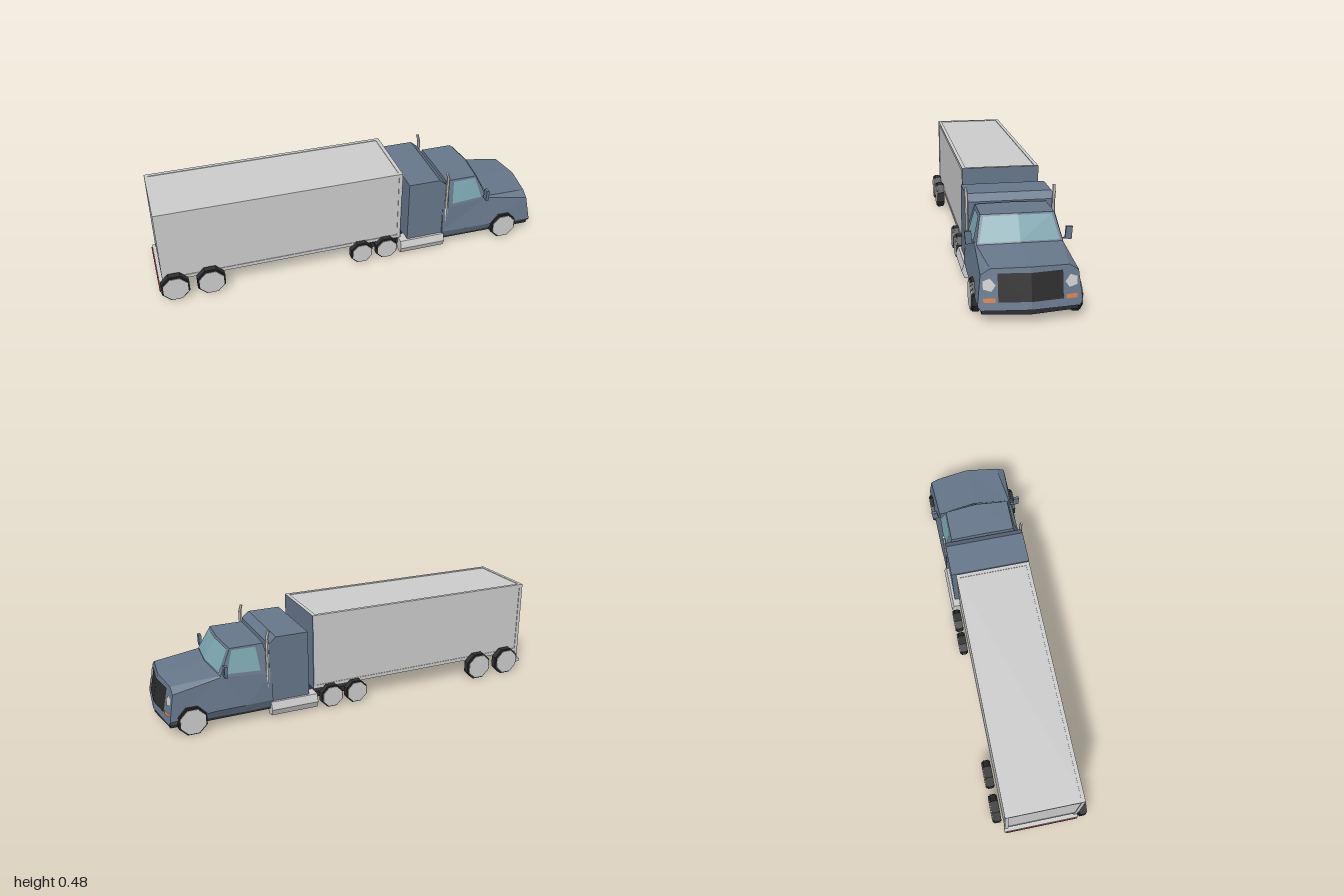
import * as THREE from 'three';

const mat = (color, side = THREE.FrontSide) =>
  new THREE.MeshStandardMaterial({ color, side, flatShading: true });

export function createModel() {
  const truck = new THREE.Group();
  const grey = mat(0xcccccc), blue = mat(0x66768a), dark = mat(0x2b2d33), rubber = mat(0x303030);
  const glass = mat(0x7aa3ad, THREE.DoubleSide), black = mat(0x2a2a2a, THREE.DoubleSide);
  const lamp = mat(0xcccccc, THREE.DoubleSide), orange = mat(0xd0804a, THREE.DoubleSide);
  const red = mat(0x8a2a2a);

  const add = (name, geo, material, parent = truck) => {
    const m = new THREE.Mesh(geo, material);
    m.name = name;
    parent.add(m);
    return m;
  };
  // box given by its limits
  const box = (name, x0, x1, y0, y1, z0, z1, material, parent) => {
    const m = add(name, new THREE.BoxGeometry(x1 - x0, y1 - y0, z1 - z0), material, parent);
    m.position.set((x0 + x1) / 2, (y0 + y1) / 2, (z0 + z1) / 2);
    return m;
  };
  const fromTriangles = (tris) => {
    const g = new THREE.BufferGeometry();
    g.setAttribute('position', new THREE.Float32BufferAttribute(tris.flat(2), 3));
    g.computeVertexNormals();
    return g;
  };
  const fan = (pts) => fromTriangles(pts.slice(2).map((p, i) => [pts[0], pts[i + 1], p]));
  // outline in (z, y), drawn out along x
  const alongX = (pts, x0, x1) => {
    const s = new THREE.Shape(pts.map(([z, y]) => new THREE.Vector2(-z, y)));
    return new THREE.ExtrudeGeometry(s, { depth: x1 - x0, bevelEnabled: false })
      .rotateY(Math.PI / 2).translate(x0, 0, 0);
  };

  // Trailer: core, edge rails and front panel
  const trailer = new THREE.Group();
  trailer.name = 'trailer';
  truck.add(trailer);
  const X = [-0.98, 0.24], Y = [0.1, 0.485], Z = [-0.182, 0.192], t = 0.018;
  box('trailerBody', X[0] + 0.003, X[1] - 0.003, Y[0] + 0.003, Y[1] - 0.003, Z[0] + 0.003, Z[1] - 0.003, grey, trailer);
  const rail = (r, k) => (k ? [r[1] - t, r[1]] : [r[0], r[0] + t]);
  for (const a of [0, 1]) for (const b of [0, 1]) {
    box('lengthRail', ...X, ...rail(Y, a), ...rail(Z, b), grey, trailer);
    box('cornerPost', ...rail(X, a), ...Y, ...rail(Z, b), grey, trailer);
    box('crossRail', ...rail(X, a), ...rail(Y, b), ...Z, grey, trailer);
  }
  box('trailerFrontPanel', 0.236, 0.241, ...Y, ...Z, blue, trailer);

  // Rear bumper with hangers and a red strip
  box('rearBumper', -0.995, -0.972, 0.036, 0.056, -0.185, 0.19, grey);
  box('rearLightStrip', -1, -0.994, 0.037, 0.047, -0.18, 0.185, red);
  for (const z of [-0.182, 0.172])
    box('bumperHanger', -0.98, -0.965, 0.04, 0.105, z, z + 0.016, grey);

  // Underbody plate: wide under the cab, narrower to the rear
  const plan = [[0.995, 0], [0.965, 0.205], [0.46, 0.2], [0.27, 0.2], [0.24, 0.17], [0, 0.165],
    [0, -0.165], [0.24, -0.17], [0.27, -0.2], [0.46, -0.2], [0.965, -0.205]];
  add('underbody', new THREE.ExtrudeGeometry(
    new THREE.Shape(plan.map(p => new THREE.Vector2(...p))), { depth: 0.028, bevelEnabled: false }
  ).rotateX(Math.PI / 2).translate(0, 0.077, 0), dark);
  box('trailerCoupling', 0.03, 0.19, 0.07, 0.102, -0.08, 0.08, dark);

  // Sleeper with a sloped upper front edge
  const sleeper = [[0.275, 0.07], [0.475, 0.07], [0.475, 0.385], [0.438, 0.416], [0.275, 0.416]];
  add('sleeper', new THREE.ExtrudeGeometry(
    new THREE.Shape(sleeper.map(p => new THREE.Vector2(...p))), { depth: 0.406, bevelEnabled: false }
  ).translate(0, 0, -0.203), blue);

  // Cab and hood: half cross-sections (bottom, sill, belt, roof edge, centre), mirrored in z
  const frontX = (y, z) => 0.965 + (0.245 - y) * 0.2 - 0.127 * Math.abs(z);
  const onFront = (z, y, off = 0) => [frontX(y, z) + off, y, z];
  const halves = [
    [[0.465, 0.06, 0], [0.465, 0.06, 0.2], [0.465, 0.1, 0.215], [0.465, 0.235, 0.205], [0.49, 0.38, 0.165], [0.49, 0.383, 0]],
    [[0.6, 0.055, 0], [0.6, 0.055, 0.2], [0.6, 0.1, 0.22], [0.705, 0.256, 0.197], [0.655, 0.38, 0.165], [0.668, 0.384, 0]],
    [[0.74, 0.055, 0], [0.74, 0.055, 0.2], [0.74, 0.1, 0.222], [0.716, 0.255, 0.197], [0.715, 0.262, 0.19], [0.735, 0.269, 0]],
    [onFront(0, 0.07), onFront(0.208, 0.068), onFront(0.222, 0.085), onFront(0.207, 0.215), onFront(0.166, 0.24), onFront(0, 0.245)],
  ];
  const flip = ([x, y, z]) => [x, y, -z];
  const rings = halves.map(h => [...h, ...h.slice(1, 5).reverse().map(flip)]);
  const tris = [];
  const n = rings[0].length;
  for (let s = 0; s < 3; s++) for (let i = 0; i < n; i++) {
    const j = (i + 1) % n;
    const a = rings[s][i], b = rings[s][j], c = rings[s + 1][j], d = rings[s + 1][i];
    tris.push([a, d, c], [a, c, b]);
  }
  for (let i = 1; i < n - 1; i++) {
    tris.push([rings[0][0], rings[0][i], rings[0][i + 1]]);
    tris.push([rings[3][0], rings[3][i + 1], rings[3][i]]);
  }
  add('cab', fromTriangles(tris), blue);

  // Panes lie on a body quad, pushed out slightly
  const pane = (q, uv, off) => fan(uv.map(([u, v]) => q[0].map((_, k) =>
    (q[0][k] * (1 - u) + q[1][k] * u) * (1 - v) + (q[3][k] * (1 - u) + q[2][k] * u) * v + off[k])));
  const [h0, h1, h2] = halves;
  for (const side of [1, -1]) {
    const m = p => [p[0], p[1], p[2] * side];
    const label = side > 0 ? 'left' : 'right';
    add(label + 'SideWindow', pane([h0[3], h1[3], h1[4], h0[4]].map(m),
      [[0.22, 0.13], [0.92, 0.1], [0.94, 0.93], [0.25, 0.93]], [0, 0.001, 0.004 * side]), glass);
    add(label + 'Windshield', pane([h1[4], h1[5], h2[5], h2[4]].map(m),
      [[0.08, 0.07], [1, 0.07], [1, 0.95], [0.05, 0.95]], [0.004, 0.002, 0]), glass);

    // Grille, headlights and indicators on the sloped nose
    const nose = (name, pts, material) =>
      add(name, fan(pts.map(([z, y]) => onFront(z * side, y, 0.003))), material);
    nose(label + 'Grille', [[0, 0.104], [0.137, 0.104], [0.137, 0.222], [0, 0.222]], black);
    nose(label + 'Headlight', [[0.199, 0.19], [0.169, 0.201], [0.146, 0.173], [0.164, 0.148], [0.198, 0.157]], lamp);
    nose(label + 'Indicator', [[0.198, 0.102], [0.148, 0.102], [0.148, 0.12], [0.198, 0.12]], orange);

    // Door mirror
    const mirror = [[0.195, 0.268], [0.236, 0.263], [0.24, 0.322], [0.211, 0.322], [0.207, 0.272]];
    add(label + 'Mirror', alongX(mirror.map(([z, y]) => [z * side, y]), 0.69, 0.704), blue);

    // Exhaust stack with a tip bent backwards
    const stack = add(label + 'ExhaustStack', new THREE.CylinderGeometry(0.008, 0.008, 0.3, 6), grey);
    stack.position.set(0.484, 0.273, 0.203 * side);
    const tip = add(label + 'ExhaustTip', new THREE.CylinderGeometry(0.007, 0.008, 0.04, 6), grey);
    tip.position.set(0.48, 0.435, 0.205 * side);
    tip.rotation.z = 0.25;

    // Fuel tank with step
    const tank = [[0.15, 0.088], [0.15, 0.043], [0.185, 0.013], [0.215, 0.018], [0.228, 0.05], [0.215, 0.088]];
    add(label + 'FuelTank', alongX(tank.map(([z, y]) => [z * side, y]), 0.235, 0.475), grey);
  }

  // Wheels: eight-sided tyre with a flat hub disc outside
  const wheel = (name, x, y, z, r, width) => {
    const g = new THREE.Group();
    g.name = name;
    const side = Math.sign(z);
    const turn = geo => geo.rotateY(Math.PI / 8).rotateX(Math.PI / 2);
    add('tyre', turn(new THREE.CylinderGeometry(r * 0.93, r * 0.93, width, 8)), rubber, g);
    add('tread', turn(new THREE.CylinderGeometry(r, r, width * 0.7, 8)), rubber, g);
    add('hub', turn(new THREE.CylinderGeometry(r * 0.87, r * 0.87, 0.006, 8)), grey, g)
      .position.z = side * width / 2;
    g.position.set(x, y, z);
    truck.add(g);
  };
  for (const x of [-0.925, -0.75, 0.813]) {
    wheel(x > 0 ? 'frontLeftWheel' : 'trailerLeftWheel', x, 0.077, 0.212, 0.074, 0.042);
    wheel(x > 0 ? 'frontRightWheel' : 'trailerRightWheel', x + 0.051, 0.074, -0.211, 0.074, 0.042);
  }
  for (const x of [0.024, 0.158]) {
    wheel('driveLeftWheel', x, 0.064, 0.2, 0.061, 0.04);
    wheel('driveRightWheel', x, 0.064, -0.208, 0.061, 0.04);
  }
  return truck;
}
